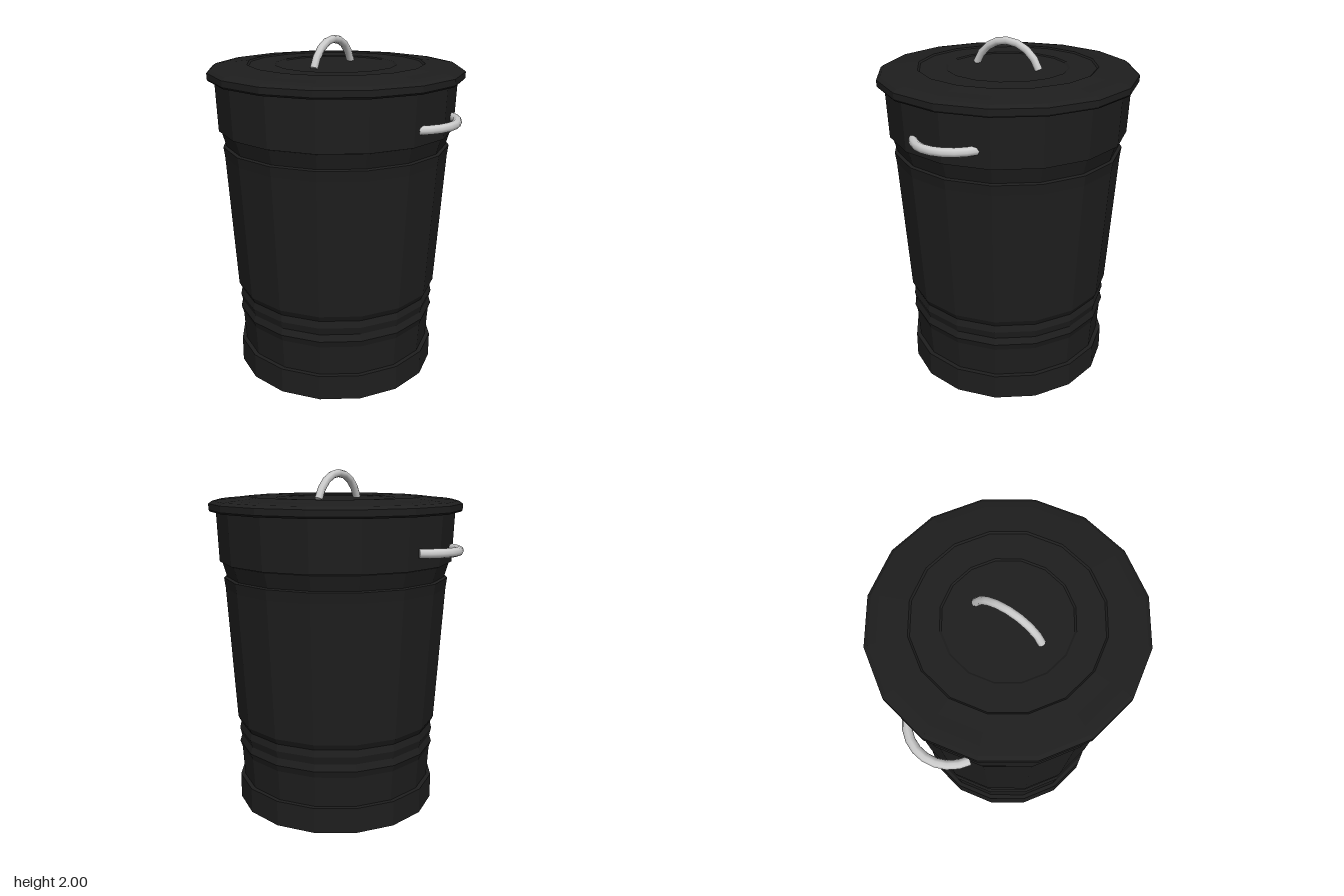
import * as THREE from 'three';

const SIDES = 16;
const AXIS_X = 0.013; // the bin sits slightly off the middle of its handles

const dark = new THREE.MeshStandardMaterial({ color: 0x1e1e1e, flatShading: true });
const grey = new THREE.MeshStandardMaterial({ color: 0xcccccc });

// Faceted turned part from [radius, height] pairs, bottom to top
function turned(name, profile) {
  const points = profile.map(([r, y]) => new THREE.Vector2(r, y));
  const mesh = new THREE.Mesh(new THREE.LatheGeometry(points, SIDES), dark);
  mesh.position.x = AXIS_X;
  mesh.name = name;
  return mesh;
}

// Bow handle: circular arc in the XY plane, ends at (+-half, 0), peak at (0, rise)
function bowHandle(name, half, rise, thickness) {
  const radius = (half * half + rise * rise) / (2 * rise);
  const sweep = Math.asin(half / radius);
  const steps = 8;
  const points = [];
  for (let i = 0; i <= steps; i++) {
    const a = sweep * (2 * i / steps - 1);
    points.push(new THREE.Vector3(radius * Math.sin(a), rise - radius + radius * Math.cos(a), 0));
  }
  const path = new THREE.CatmullRomCurve3(points);
  const group = new THREE.Group();
  group.name = name;
  group.add(new THREE.Mesh(new THREE.TubeGeometry(path, steps, thickness, 8), grey));

  // Close both ends of the bar
  for (const t of [0, 1]) {
    const cap = new THREE.Mesh(new THREE.CircleGeometry(thickness, 8), grey);
    cap.position.copy(path.getPoint(t));
    const out = path.getTangent(t).multiplyScalar(t ? 1 : -1);
    cap.quaternion.setFromUnitVectors(new THREE.Vector3(0, 0, 1), out);
    group.add(cap);
  }
  return group;
}

export function createModel() {
  const model = new THREE.Group();
  model.name = 'dustbin';

  // Foot band with closed bottom
  model.add(turned('base', [[0, 0], [0.6, 0], [0.6, 0.15], [0.57, 0.15]]));

  // Tapered wall with pressed ribs low down and a stepped collar
  model.add(turned('body', [
    [0.573, 0.14], [0.585, 0.33], [0.598, 0.37], [0.586, 0.41], [0.597, 0.455],
    [0.588, 0.495], [0.605, 0.53], [0.654, 1.325], [0.662, 1.385], [0.643, 1.39],
    [0.668, 1.475], [0.665, 1.48], [0.683, 1.48], [0.695, 1.77],
  ]));

  // Lid with bevelled overhanging rim and shallow concentric recesses
  model.add(turned('lid', [
    [0.69, 1.765], [0.728, 1.765], [0.736, 1.775], [0.736, 1.81], [0.715, 1.825],
    [0.67, 1.832], [0.6, 1.838], [0.51, 1.848], [0.5, 1.84], [0.35, 1.84],
    [0.34, 1.834], [0, 1.834],
  ]));

  // Lid handle, running front to back
  const lidHandle = bowHandle('lidHandle', 0.2, 0.142, 0.023);
  lidHandle.rotation.y = Math.PI / 2;
  lidHandle.position.set(0, 1.835, 0.01);
  model.add(lidHandle);

  // Side handles, lying almost flat and bowing outwards
  for (const side of [1, -1]) {
    const handle = bowHandle(side > 0 ? 'leftHandle' : 'rightHandle', 0.197, 0.115, 0.026);
    handle.rotation.set(Math.PI / 2 + 0.02, 0, -side * Math.PI / 2);
    handle.position.set(side * 0.642, 1.567, 0.01);
    model.add(handle);
  }

  return model;
}
